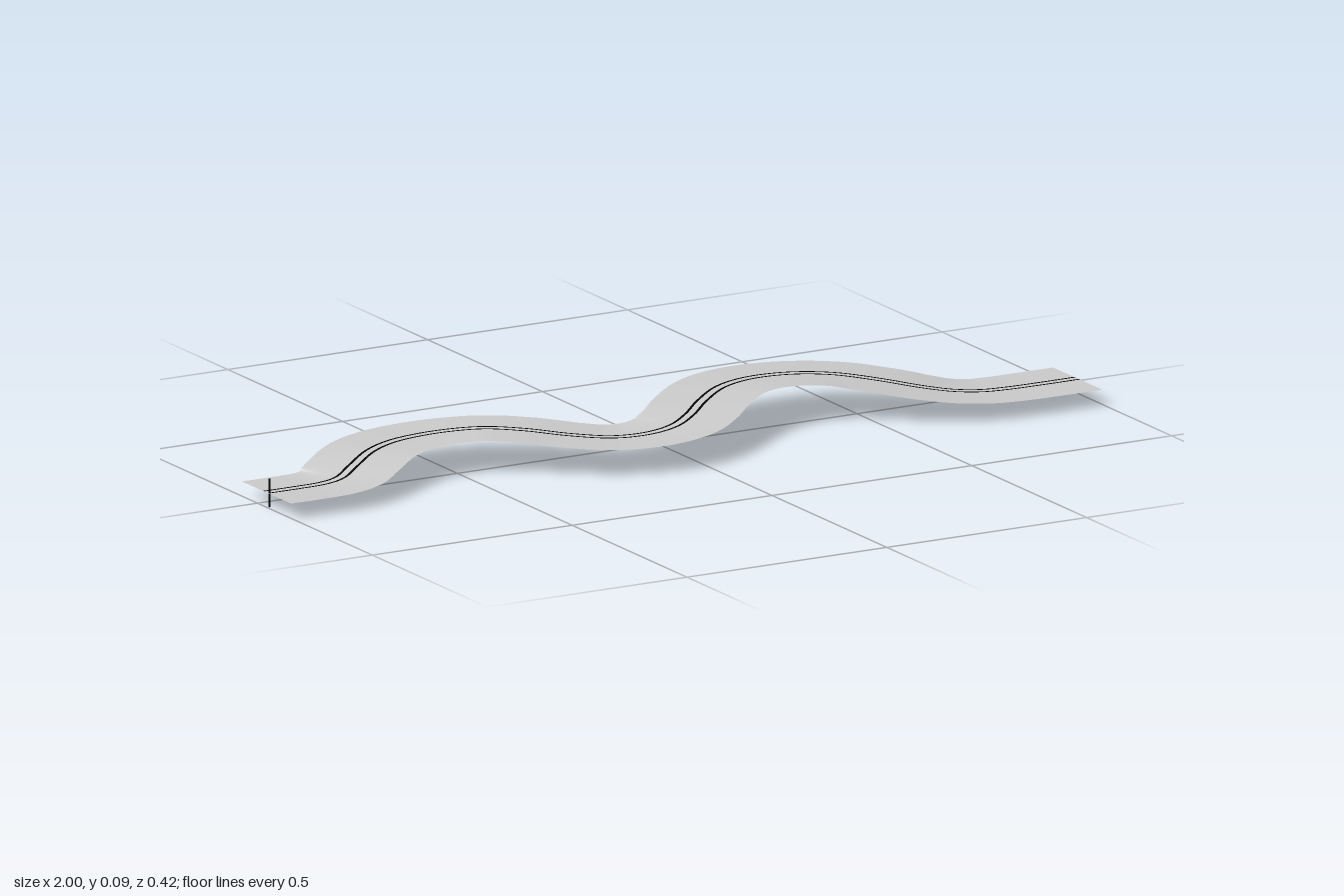
import * as THREE from 'three';

// Centreline of the road: x, height, z
const path = [
  [-1, .033, .039], [-.92, .033, .039], [-.855, .034, .038], [-.81, .038, .028], [-.76, .05, -.003],
  [-.69, .062, -.052], [-.62, .065, -.088], [-.54, .066, -.105], [-.46, .068, -.099], [-.39, .07, -.073],
  [-.32, .068, -.023], [-.24, .061, .043], [-.16, .056, .088], [-.08, .057, .102], [-.01, .062, .09],
  [.05, .07, .053], [.11, .079, 0], [.19, .086, -.06], [.27, .086, -.094], [.35, .083, -.105],
  [.42, .079, -.098], [.49, .073, -.073], [.565, .063, -.02], [.64, .05, .037], [.7, .041, .069],
  [.76, .036, .086], [.82, .034, .09], [.91, .033, .09], [1, .033, .09],
].map((p) => new THREE.Vector3(...p));

const STEPS = 180;
const curve = new THREE.CatmullRomCurve3(path, false, 'centripetal');

// Ribbon following the centreline between two sideways offsets
function ribbon(name, from, to, lift, across, material) {
  const pos = [], index = [], row = across + 1;
  for (let i = 0; i <= STEPS; i++) {
    const p = curve.getPointAt(i / STEPS);
    const t = curve.getTangentAt(i / STEPS);
    const len = Math.hypot(t.x, t.z);
    const sx = -t.z / len, sz = t.x / len;
    for (let j = 0; j <= across; j++) {
      const d = from + (to - from) * j / across;
      pos.push(THREE.MathUtils.clamp(p.x + sx * d, -1, 1), p.y + lift, p.z + sz * d);
      if (i < STEPS && j < across) {
        const a = i * row + j;
        index.push(a, a + 1, a + row, a + 1, a + row + 1, a + row);
      }
    }
  }
  const geometry = new THREE.BufferGeometry();
  geometry.setAttribute('position', new THREE.Float32BufferAttribute(pos, 3));
  geometry.setIndex(index);
  geometry.computeVertexNormals();
  const mesh = new THREE.Mesh(geometry, material);
  mesh.name = name;
  return mesh;
}

export function createModel() {
  const group = new THREE.Group();
  group.name = 'windingRoad';
  const asphalt = new THREE.MeshStandardMaterial({ color: 0xcccccc, side: THREE.DoubleSide });
  asphalt.name = 'paleGrey';
  const paint = new THREE.MeshStandardMaterial({ color: 0x050505, side: THREE.DoubleSide });
  paint.name = 'black';

  // Road surface
  group.add(ribbon('roadSurface', -.107, .107, 0, 8, asphalt));

  // Twin centre lines
  for (const [name, d] of [['centreLineRight', .01], ['centreLineLeft', -.01]]) {
    group.add(ribbon(name, d - .003, d + .003, .001, 1, paint));
  }

  // Thin marker post through the start of the road
  const post = new THREE.Mesh(new THREE.BoxGeometry(.003, .064, .003), paint);
  post.name = 'markerPost';
  post.position.set(-.994, .032, .041);
  group.add(post);
  return group;
}
